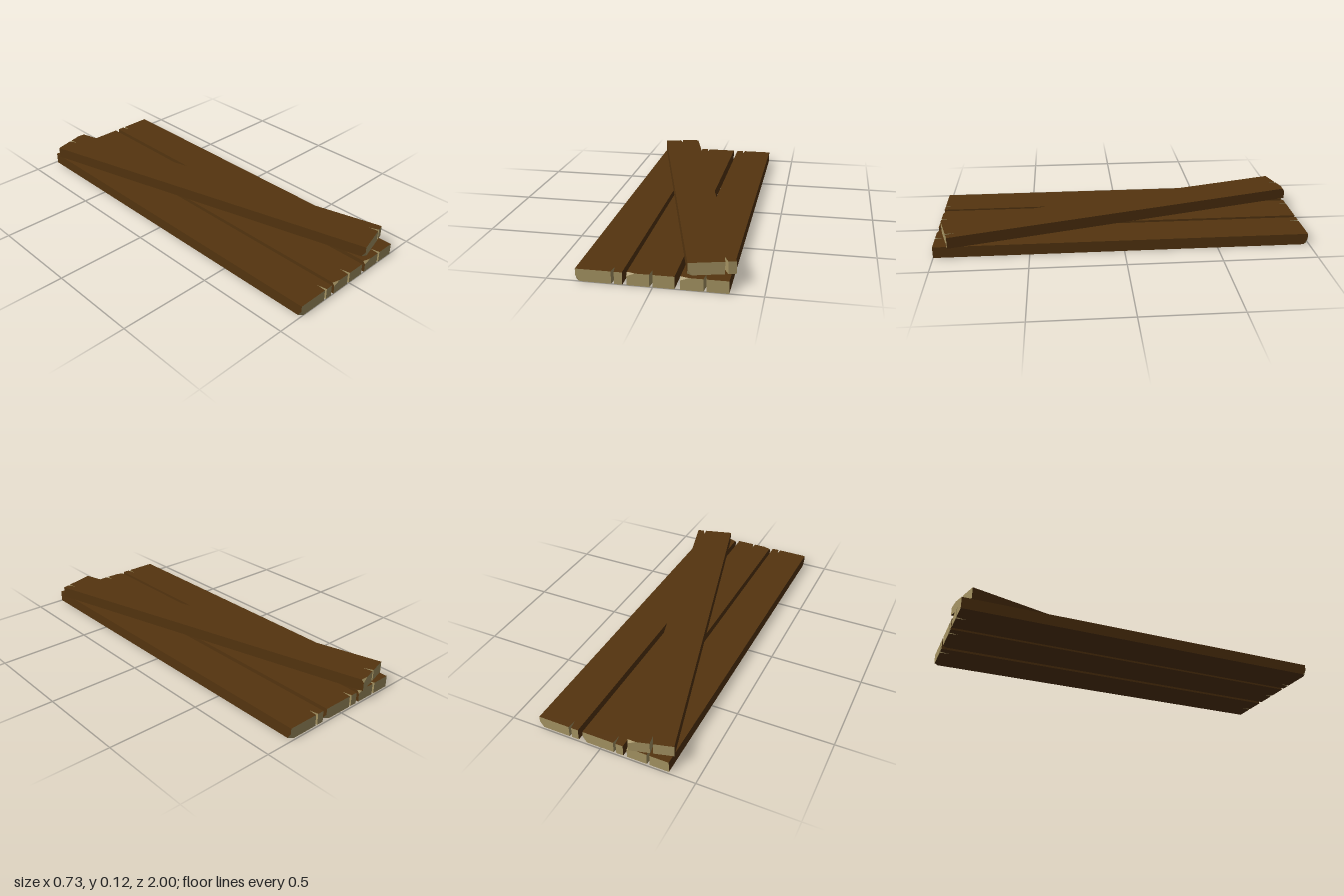
import * as THREE from 'three';

const W = 0.11, H = 0.061, L = 0.995;   // half width, thickness, half length
const NOTCH = 0.05;                     // depth of the splits in the ends

// One board: long faces use material 0, sawn ends use material 1.
function plankGeometry() {
  const wood = [], ends = [];
  const fan = (out, poly) => {
    for (let i = 1; i < poly.length - 1; i++) out.push(...poly[0], ...poly[i], ...poly[i + 1]);
  };
  const lid = (pts, y, up) => {
    const tris = THREE.ShapeUtils.triangulateShape(pts.map(([x, z]) => new THREE.Vector2(x, -z)), []);
    for (const t of tris) {
      for (const i of up ? t : [t[0], t[2], t[1]]) wood.push(pts[i][0], y, pts[i][1]);
    }
  };
  const wall = (p, q) => fan(ends, [[p[0], 0, p[1]], [q[0], 0, q[1]], [q[0], H, q[1]], [p[0], H, p[1]]]);

  // V-shaped splits, listed anticlockwise as seen from above
  const front = [[0.058, L], [0.063, L - NOTCH], [0.072, L]];
  const back = [[0.005, -L], [0, -L + NOTCH], [-0.01, -L]];

  // broken corners: lower front left and upper back right
  const low = { x: -W + 0.02, y: 0.03, z: L - 0.02 };
  const high = { x: W - 0.04, y: 0.045, z: -L + 0.012 };

  // top and bottom
  lid([[-W, L], ...front, [W, L], [W, high.z], [high.x, -L], ...back, [-W, -L]], H, true);
  lid([[-W, low.z], [low.x, L], ...front, [W, L], [W, -L], ...back, [-W, -L]], 0, false);

  // long sides
  fan(wood, [[-W, 0, -L], [-W, 0, low.z], [-W, low.y, L], [-W, H, L], [-W, H, -L]]);
  fan(wood, [[W, 0, L], [W, 0, -L], [W, high.y, -L], [W, H, high.z], [W, H, L]]);

  // front end
  const [f0, f1, f2] = front;
  fan(ends, [[low.x, 0, L], [f0[0], 0, L], [f0[0], H, L], [-W, H, L], [-W, low.y, L]]);
  wall(f0, f1);
  wall(f1, f2);
  wall(f2, [W, L]);
  fan(ends, [[-W, 0, low.z], [low.x, 0, L], [-W, low.y, L]]);

  // back end
  const [b0, b1, b2] = back;
  fan(ends, [[b0[0], 0, -L], [b0[0], H, -L], [high.x, H, -L], [W, high.y, -L], [W, 0, -L]]);
  wall(b0, b1);
  wall(b1, b2);
  wall(b2, [-W, -L]);
  fan(ends, [[W, H, high.z], [W, high.y, -L], [high.x, H, -L]]);

  const geo = new THREE.BufferGeometry();
  geo.setAttribute('position', new THREE.Float32BufferAttribute([...wood, ...ends], 3));
  geo.addGroup(0, wood.length / 3, 0);
  geo.addGroup(wood.length / 3, ends.length / 3, 1);
  geo.computeVertexNormals();
  return geo;
}

export function createModel() {
  const bark = new THREE.MeshStandardMaterial({ color: 0x54340f });
  bark.name = 'brown wood';
  const grain = new THREE.MeshStandardMaterial({ color: 0xa69463 });
  grain.name = 'pale end grain';

  const group = new THREE.Group();
  group.name = 'plankStack';
  const geo = plankGeometry();

  // name, x, y, z, turn about the vertical
  const planks = [
    ['rightPlank', -0.25, 0, 0.005, 0],
    ['middlePlank', -0.01, 0, 0.005, Math.PI],
    ['leftPlank', 0.235, 0, 0.005, Math.PI],
    ['crossPlank', 0, H, -0.012, 0.2645],
  ];
  for (const [name, x, y, z, turn] of planks) {
    const mesh = new THREE.Mesh(geo, [bark, grain]);
    mesh.name = name;
    mesh.position.set(x, y, z);
    mesh.rotation.y = turn;
    group.add(mesh);
  }
  return group;
}
